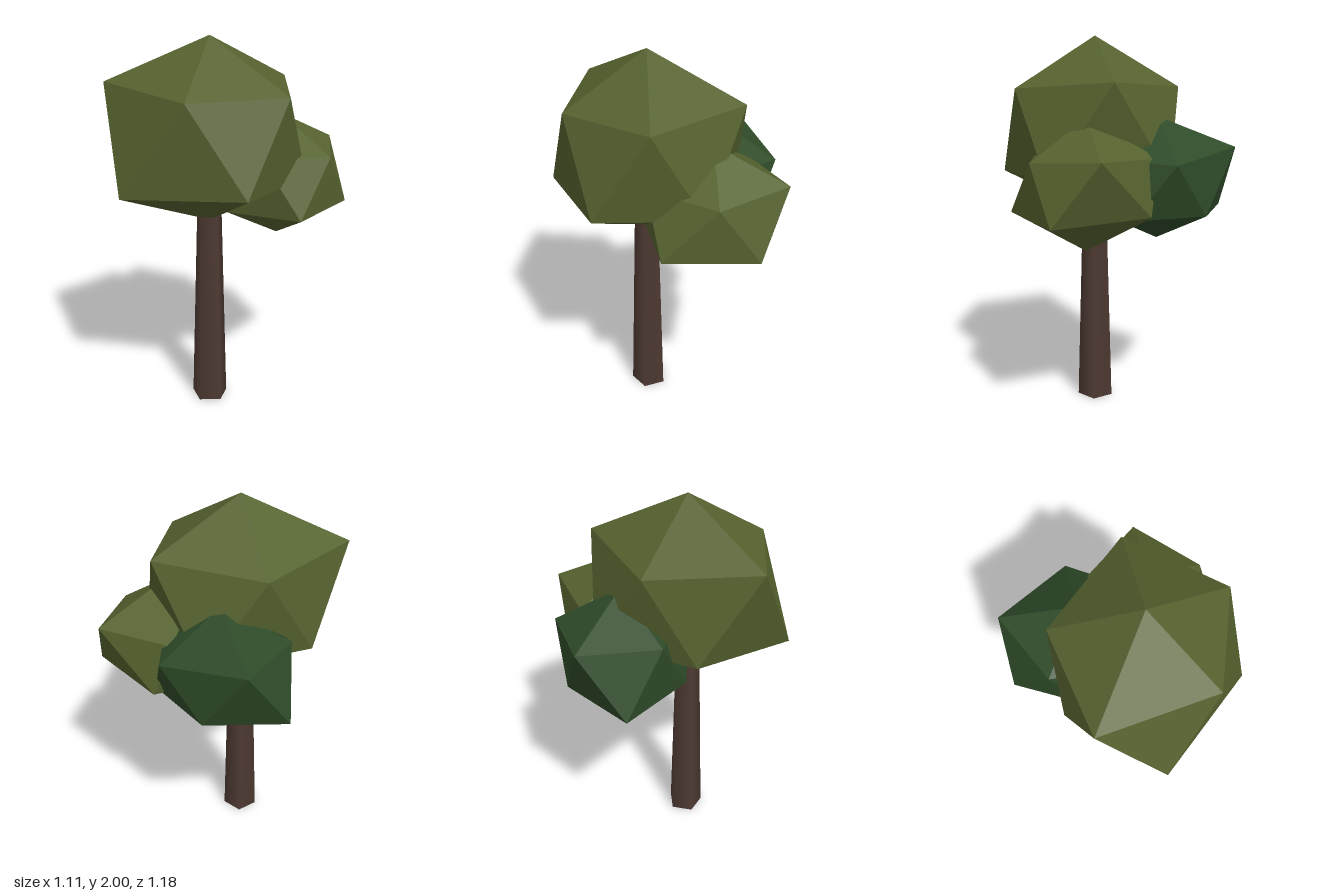
import * as THREE from 'three';

const leafOlive = new THREE.MeshStandardMaterial({ color: 0x55622f, flatShading: true });
leafOlive.name = 'oliveLeaves';
const leafDark = new THREE.MeshStandardMaterial({ color: 0x2e4a28, flatShading: true });
leafDark.name = 'darkGreenLeaves';
const bark = new THREE.MeshStandardMaterial({ color: 0x4e3a32 });
bark.name = 'brownBark';

// Irregular twenty-sided leaf clump: top point, two staggered rings of five, bottom point.
// Rings run from +x towards +z; lower point k sits between upper points k and k + 1.
function leafClump(name, material, top, upper, lower, bottom) {
  const points = [];
  for (let k = 0; k < 5; k++) {
    const n = (k + 1) % 5;
    points.push(
      top, upper[n], upper[k],
      upper[k], upper[n], lower[k],
      lower[k], upper[n], lower[n],
      bottom, lower[k], lower[n],
    );
  }
  const geometry = new THREE.BufferGeometry();
  geometry.setAttribute('position', new THREE.Float32BufferAttribute(points.flat(), 3));
  geometry.computeVertexNormals();
  const mesh = new THREE.Mesh(geometry, material);
  mesh.name = name;
  return mesh;
}

export function createModel() {
  const tree = new THREE.Group();
  tree.name = 'tree';

  // Tapered five-sided trunk
  const trunkHeight = 1.2;
  const trunk = new THREE.Mesh(new THREE.CylinderGeometry(0.065, 0.1, trunkHeight, 5), bark);
  trunk.name = 'trunk';
  trunk.position.set(0.02, trunkHeight / 2, 0.085);
  tree.add(trunk);

  // Large crown
  tree.add(leafClump('mainCrown', leafOlive,
    [0.02, 2, 0.08],
    [[0.48, 1.735, 0.08], [0.165, 1.735, 0.485], [-0.415, 1.775, 0.38], [-0.34, 1.74, -0.17], [0.183, 1.77, -0.385]],
    [[0.43, 1.29, 0.36], [-0.155, 1.26, 0.588], [-0.433, 1.31, 0.08], [-0.13, 1.3, -0.4], [0.44, 1.29, -0.18]],
    [0.02, 1.05, 0.08]));

  // Smaller clump at the back on the +x side
  tree.add(leafClump('sideClump', leafOlive,
    [0.25, 1.6, -0.225],
    [[0.553, 1.4, -0.228], [0.35, 1.42, 0.1], [-0.02, 1.4, -0.03], [-0.03, 1.41, -0.45], [0.37, 1.43, -0.583]],
    [[0.537, 1.125, 0.037], [0.14, 1.12, 0.1], [-0.08, 1.13, -0.22], [0.07, 1.145, -0.535], [0.553, 1.12, -0.435]],
    [0.25, 0.94, -0.225]));

  // Dark clump at the back on the -x side
  tree.add(leafClump('darkClump', leafDark,
    [-0.14, 1.6, -0.26],
    [[0.22, 1.4, -0.26], [-0.03, 1.4, 0.08], [-0.417, 1.42, -0.08], [-0.473, 1.445, -0.484], [-0.036, 1.39, -0.59]],
    [[0.14, 1.12, -0.05], [-0.27, 1.12, 0.05], [-0.558, 1.11, -0.265], [-0.25, 1.12, -0.545], [0.13, 1.12, -0.46]],
    [-0.15, 0.97, -0.26]));

  return tree;
}
